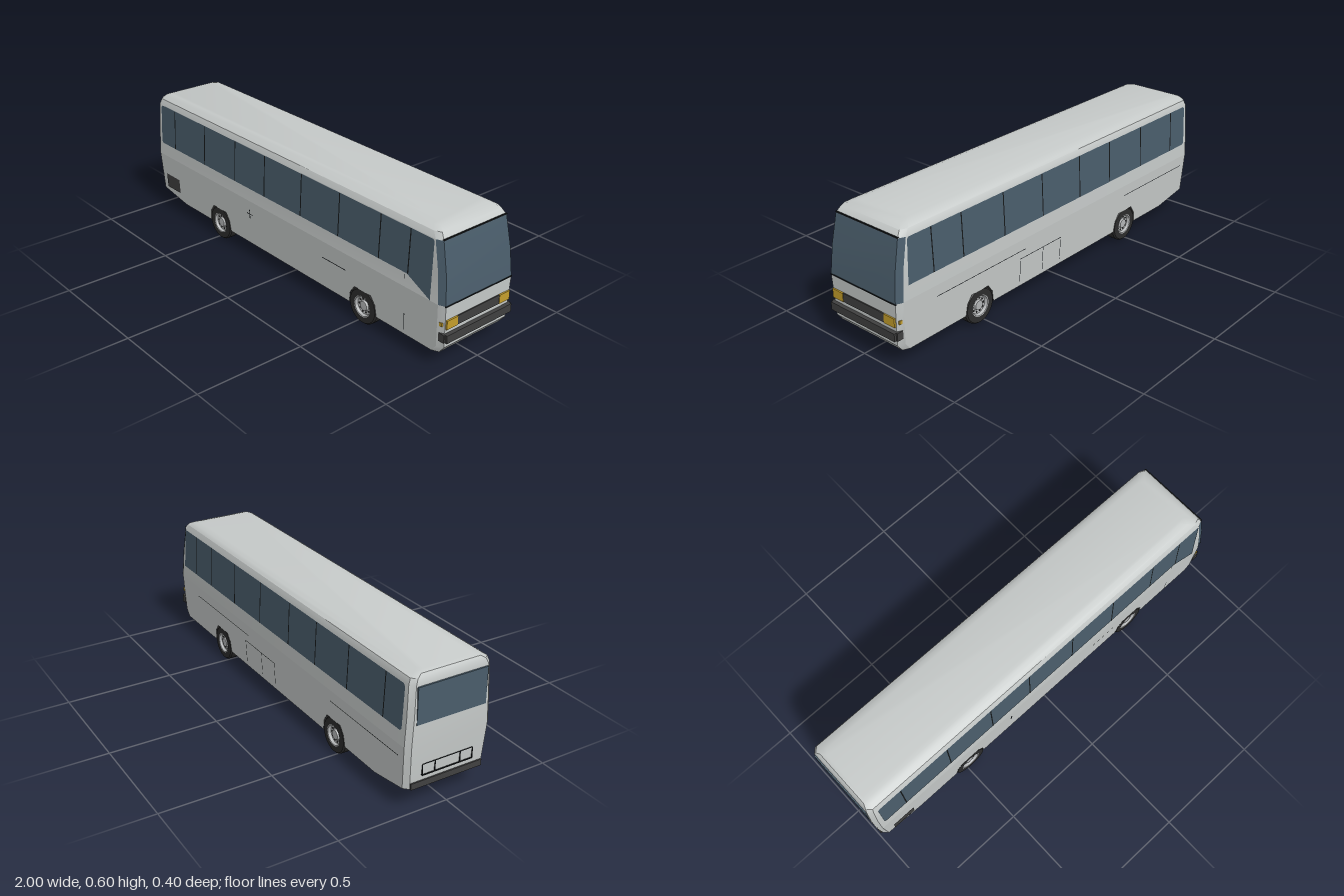
import * as THREE from 'three';
import { toCreasedNormals } from 'three/addons/utils/BufferGeometryUtils.js';

const mat = (name, color, side = THREE.FrontSide) => {
  const m = new THREE.MeshStandardMaterial({ color, side });
  m.name = name;
  return m;
};

// Body levels: height, rear x, front x, half width
const LEVELS = [
  [0.068, -0.80, 0.955, 0.19], [0.1, -0.985, 0.98, 0.1914], [0.29, -0.998, 0.986, 0.2],
  [0.42, -0.998, 0.972, 0.194], [0.55, -0.993, 0.945, 0.188], [0.575, -0.987, 0.925, 0.178],
  [0.588, -0.978, 0.9, 0.158], [0.595, -0.962, 0.875, 0.135],
];
const REAR = 0.02, FRONT_X = 0.03, FRONT_Z = 0.013;
const WHEEL_X = [-0.48, 0.53];
const ARCH = [[-0.083, 0.068], [-0.075, 0.12], [-0.05, 0.156], [0.05, 0.156], [0.075, 0.12], [0.083, 0.068]];

// Half width of the body at a given height
function halfWidth(y) {
  for (let i = 1; i < LEVELS.length; i++) {
    const [y0, , , w0] = LEVELS[i - 1], [y1, , , w1] = LEVELS[i];
    if (y <= y1) return THREE.MathUtils.lerp(w0, w1, Math.max(0, (y - y0) / (y1 - y0)));
  }
  return LEVELS.at(-1)[3];
}

// Chamfered plan outline of one level
function outline([y, xr, xf, w]) {
  const half = [[xf, w - FRONT_Z], [xf - FRONT_X, w], [xr + REAR, w], [xr, w - REAR]];
  return [...half.map(([x, z]) => [x, y, z]), ...half.reverse().map(([x, z]) => [x, y, -z])];
}

function fromTriangles(tris) {
  const g = new THREE.BufferGeometry();
  g.setAttribute('position', new THREE.Float32BufferAttribute(tris.flat(2), 3));
  g.computeVertexNormals();
  return toCreasedNormals(g, 0.5);
}
const quad = (a0, a1, b0, b1) => [[a1, a0, b0], [a1, b0, b1]];

// Flat outline (x, y) laid onto one flank of the body
function sidePanel(pts, side, offset = 0) {
  const g = new THREE.ShapeGeometry(new THREE.Shape(pts.map(p => new THREE.Vector2(...p))));
  const p = g.attributes.position;
  for (let i = 0; i < p.count; i++) p.setZ(i, side * (halfWidth(p.getY(i)) + offset));
  if (side < 0) g.index.array.reverse();
  g.computeVertexNormals();
  return g;
}
const rect = (x0, x1, y0, y1) => [[x0, y0], [x1, y0], [x1, y1], [x0, y1]];

export function createModel() {
  const paint = mat('body paint', 0xc6cac9);
  const glass = mat('tinted glass', 0x4a5d6b);
  const black = mat('seam black', 0x15181a);
  const trim = mat('dark trim', 0x404040, THREE.DoubleSide);
  const rubber = mat('tyre rubber', 0x2c2c2c);
  const metal = mat('wheel metal', 0xb4b6b7, THREE.DoubleSide);
  const amber = mat('lamp amber', 0xc49e2c);

  const bus = new THREE.Group();
  bus.name = 'bus';
  const add = (name, geo, material, parent = bus) => {
    const m = new THREE.Mesh(geo, material);
    m.name = name;
    parent.add(m);
    return m;
  };
  const box = (name, material, x, y, z, sx, sy, sz) => {
    const m = add(name, new THREE.BoxGeometry(sx, sy, sz), material);
    m.position.set(x, y, z);
    return m;
  };

  // Shell and windscreen; the lower flanks are separate panels with wheel arches
  const shell = [], screen = [];
  const rows = LEVELS.map(outline);
  for (let i = 0; i + 1 < rows.length; i++) {
    for (let j = 0; j < 8; j++) {
      const flank = j === 1 || j === 5, nose = j === 0 || j === 6 || j === 7, k = (j + 1) % 8;
      if (flank && i < 2) continue;
      const target = nose && (i === 2 || i === 3) ? screen : shell;
      target.push(...quad(rows[i][j], rows[i][k], rows[i + 1][j], rows[i + 1][k]));
    }
  }
  const roof = rows.at(-1), floor = rows[0];
  for (let k = 1; k < 7; k++) {
    shell.push([roof[0], roof[k + 1], roof[k]], [floor[0], floor[k], floor[k + 1]]);
  }
  add('bodyShell', fromTriangles(shell), paint);
  add('windscreen', fromTriangles(screen), glass);

  const [L0, L1, L2] = LEVELS;
  const lowerFlank = [
    [L0[1] + REAR, L0[0]],
    ...WHEEL_X.flatMap(x => ARCH.map(([ax, ay]) => [x + ax, ay])),
    ...[L0, L1, L2].map(l => [l[2] - FRONT_X, l[0]]),
    ...[L2, L1].map(l => [l[1] + REAR, l[0]]),
  ];
  const dividers = [-0.835, -0.583, -0.34, -0.12, 0.135, 0.38, 0.625];

  for (const s of [1, -1]) {
    const label = s > 0 ? 'left' : 'right';
    const plate = (name, pts, material, off = 0.002) => add(label + name, sidePanel(pts, s, off), material);
    plate('LowerFlank', lowerFlank, paint, 0);

    // Side glazing; one side drops towards the front
    const sill = s > 0 ? [[0.785, 0.352], [0.915, 0.292]] : [[0.925, 0.352]];
    plate('SideWindow', [[-0.945, 0.352], ...sill, [0.912, 0.54], [0.905, 0.548], [-0.945, 0.548],
      [-0.955, 0.538], [-0.955, 0.362]], glass);
    for (const x of [...dividers, 0.79]) {
      plate('WindowDivider', rect(x - 0.003, x + 0.003, 0.353, 0.547), black, 0.003);
    }

    // Wheel wells and wheels
    for (const x of WHEEL_X) {
      const well = [];
      for (let i = 0; i + 1 < ARCH.length; i++) {
        const [a, b] = [ARCH[i], ARCH[i + 1]];
        const outer = ([px, py]) => [x + px, py, s * (halfWidth(py) - 0.0005)];
        const inner = ([px, py]) => [x + px, py, s * 0.135];
        well.push(...quad(outer(a), outer(b), inner(a), inner(b)));
        if (i > 0) well.push([inner(ARCH[0]), inner(a), inner(b)]);
      }
      add(label + 'WheelWell', fromTriangles(well), trim);

      const wheel = new THREE.Group();
      wheel.name = label + 'Wheel';
      wheel.position.set(x, 0.082, s * 0.168);
      wheel.rotation.x = s * Math.PI / 2;
      bus.add(wheel);
      const lathe = pts => toCreasedNormals(
        new THREE.LatheGeometry(pts.map(p => new THREE.Vector2(...p)), 36), 0.6);
      add('tyre', lathe([[0.047, -0.024], [0.076, -0.024], [0.082, -0.017], [0.082, 0.017],
        [0.076, 0.024], [0.047, 0.024], [0.047, -0.024]]), rubber, wheel);
      add('rim', lathe([[0.049, 0.025], [0.045, 0.024], [0.04, 0.012], [0.024, 0.01],
        [0.021, 0.019], [0.0, 0.02]]), metal, wheel);
      for (let k = 0; k < 10; k++) {
        const a = k * Math.PI / 5;
        const hole = add('rimHole', new THREE.CylinderGeometry(0.0045, 0.0045, 0.003, 10), rubber, wheel);
        hole.position.set(0.032 * Math.cos(a), 0.0115, 0.032 * Math.sin(a));
      }
    }

    // Headlamp and corner marker
    box(label + 'Headlamp', amber, 0.985, 0.206, s * 0.15, 0.012, 0.04, 0.06);
    box(label + 'Marker', amber, 0.968, 0.206, s * 0.19, 0.014, 0.016, 0.008);
    // Bumper return along the flank
    box(label + 'BumperEnd', trim, 0.975, 0.148, s * 0.187, 0.03, 0.036, 0.012);
  }

  // Seams, hatches and vent on the flanks
  const seam = (s, x0, x1, y0, y1) => add('seam', sidePanel(rect(x0, x1, y0, y1), s, 0.0015), black);
  seam(1, 0.28, 0.43, 0.21, 0.214);
  seam(1, 0.773, 0.776, 0.09, 0.345);
  seam(1, -0.235, -0.23, 0.2, 0.245);
  seam(1, -0.255, -0.21, 0.221, 0.225);
  seam(-1, 0.25, 0.78, 0.238, 0.241);
  seam(-1, -0.94, -0.46, 0.238, 0.241);
  for (const x of [0.01, 0.13, 0.28]) seam(-1, x, x + 0.003, 0.09, 0.2);
  seam(-1, 0.01, 0.283, 0.2, 0.203);
  add('engineVent', sidePanel(rect(-0.93, -0.818, 0.118, 0.19), 1, 0.004), trim);

  // Front fascia
  box('frontGrille', trim, 0.984, 0.206, 0, 0.01, 0.04, 0.24);
  box('frontBumper', trim, 0.985, 0.148, 0, 0.03, 0.036, 0.372);
  box('windscreenTopSeal', black, 0.943, 0.552, 0, 0.008, 0.005, 0.352);
  box('windscreenSill', black, 0.985, 0.288, 0, 0.006, 0.005, 0.378);

  // Rear window, plate recess and lower bumper
  box('rearWindow', glass, -0.996, 0.465, 0, 0.008, 0.16, 0.325);
  box('rearBumper', trim, -0.988, 0.113, 0, 0.01, 0.028, 0.34);
  for (const y of [0.15, 0.2]) box('rearPanelSeam', black, -0.991, y, 0, 0.006, 0.003, 0.24);
  for (const z of [-0.12, -0.06, 0.06, 0.12]) box('rearPanelSeam', black, -0.991, 0.175, z, 0.006, 0.05, 0.003);

  return bus;
}
